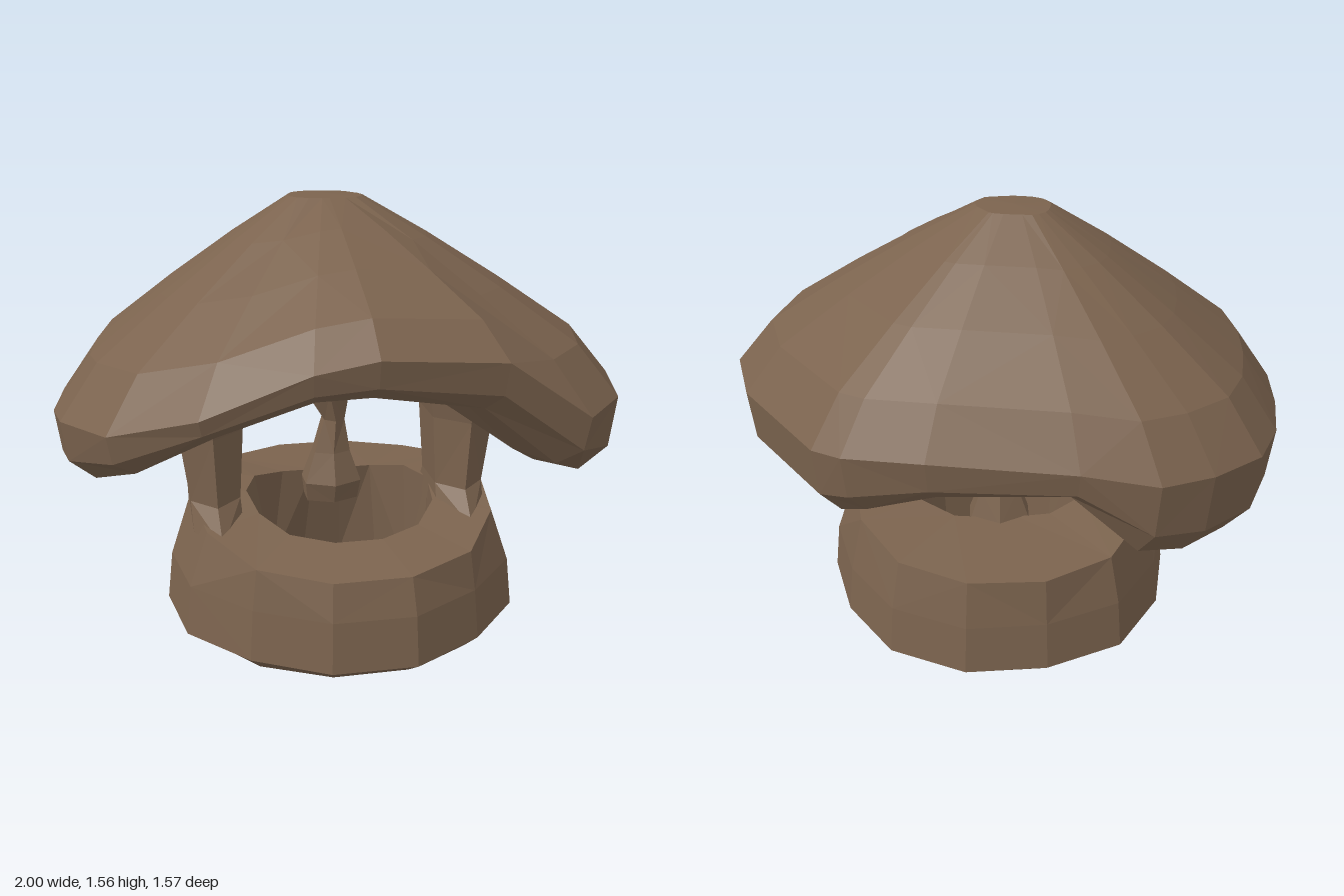
import * as THREE from 'three';

const wood = new THREE.MeshStandardMaterial({ color: 0x7b634e, flatShading: true });
wood.name = 'brown';

// Skin a list of equal-length rings of [x, y, z] with flat quads; optional end caps.
function loft(name, rings, capped = false) {
  const out = [];
  const n = rings[0].length;
  const tri = (a, b, c) => out.push(...a, ...b, ...c);
  for (let i = 0; i < rings.length - 1; i++) {
    for (let j = 0; j < n; j++) {
      const k = (j + 1) % n;
      const [a, b, c, d] = [rings[i][j], rings[i][k], rings[i + 1][j], rings[i + 1][k]];
      // alternate the diagonal for a hand-cut, faceted look
      if ((i + j) % 2) { tri(a, b, c); tri(b, d, c); } else { tri(a, b, d); tri(a, d, c); }
    }
  }
  if (capped) {
    const top = rings[0], low = rings[rings.length - 1];
    for (let j = 1; j < n - 1; j++) {
      tri(top[0], top[j + 1], top[j]);
      tri(low[0], low[j], low[j + 1]);
    }
  }
  const geo = new THREE.BufferGeometry();
  geo.setAttribute('position', new THREE.Float32BufferAttribute(out, 3));
  geo.computeVertexNormals();
  const mesh = new THREE.Mesh(geo, wood);
  mesh.name = name;
  return mesh;
}

// Mushroom roof: rim points [x, z, height of widest edge, height of lower lip]
const rim = [
  [1.0, 0.17, 0.91, 0.63], [0.91, 0.48, 0.91, 0.63], [0.72, 0.7, 0.92, 0.74],
  [0.42, 0.74, 1.13, 0.96], [0, 0.78, 1.17, 1.03], [-0.2, 0.76, 1.13, 1.02],
  [-0.54, 0.68, 0.98, 0.9], [-0.82, 0.51, 0.89, 0.74], [-0.97, 0.27, 0.87, 0.65],
  [-1.0, 0.08, 0.85, 0.62], [-0.97, -0.15, 0.86, 0.62], [-0.91, -0.39, 0.88, 0.6],
  [-0.81, -0.59, 0.9, 0.58], [-0.63, -0.72, 0.91, 0.58], [-0.45, -0.79, 0.92, 0.62],
  [-0.2, -0.76, 0.95, 0.82], [0.28, -0.69, 0.96, 0.79], [0.55, -0.61, 0.94, 0.7],
  [0.65, -0.54, 0.93, 0.66], [0.93, -0.1, 0.91, 0.63],
];

function roof() {
  const ring = (f, height) => rim.map(([x, z, wide, lip]) =>
    [-0.03 + (x + 0.03) * f, height(wide, lip), z * f]);
  const rings = [ring(0, () => 1.565)];
  // outer skin: [fraction of rim, fraction of rise]
  for (const [f, g] of [[0.13, 1], [0.35, 0.8], [0.6, 0.55], [0.86, 0.27], [1, 0]]) {
    rings.push(ring(f, (wide) => wide + (1.56 - wide) * g));
  }
  // rolled lip and hollow underside
  rings.push(ring(0.98, (wide, lip) => lip + (wide - lip) * 0.35));
  rings.push(ring(0.89, (wide, lip) => lip));
  rings.push(ring(0.74, (wide, lip) => Math.min(lip + 0.02, 1.0)));
  rings.push(ring(0.58, (wide, lip) => Math.max(0.95, Math.min(lip, 0.99))));
  rings.push(ring(0, () => 1.0));
  return loft('roof', rings);
}

// Ring wall with an open shaft: rises under the side posts, ledge at the back
function wall() {
  const n = 14;
  const ring = (r, y, lift = 0, ledge = 0) => Array.from({ length: n }, (_, j) => {
    const t = (j / n) * Math.PI * 2;
    const side = Math.cos(t) ** 4;
    const back = Math.max(0, -Math.sin(t));
    const wobble = y > 0.02 && y < 0.3 ? 0.012 * Math.sin(j * 2.3) : 0;
    const radius = r + wobble - ledge * back ** 2;
    return [
      0.02 + Math.cos(t) * (radius - lift * side * 0.5),
      y + lift * (side + back * 0.45),
      0.02 + Math.sin(t) * (radius + 0.015),
    ];
  });
  const brim = ring(0.38, 0.41, 0.06, 0.15);
  return loft('wellWall', [
    brim, ring(0.61, 0.37, 0.1), ring(0.64, 0.24),
    ring(0.66, 0.06), ring(0.59, 0.005), ring(0.35, 0.02), brim,
  ]);
}

// Post from six-sided sections: [x, y, z, half width, half depth]
function post(name, sections) {
  return loft(name, sections.map(([x, y, z, w, d]) =>
    Array.from({ length: 6 }, (_, j) => {
      const t = (j / 6 + 1 / 12) * Math.PI * 2;
      return [x + Math.cos(t) * w * 1.15, y, z + Math.sin(t) * d];
    })), true);
}

export function createModel() {
  const group = new THREE.Group();
  group.name = 'mushroomWell';
  group.add(roof(), wall());

  // flared side posts
  for (const [name, s] of [['leftPost', 1], ['rightPost', -1]]) {
    group.add(post(name, [
      [s * 0.47, 0.99, 0.04, 0.16, 0.27],
      [s * 0.465, 0.76, 0.05, 0.115, 0.2],
      [s * 0.455, 0.5, 0.06, 0.09, 0.18],
      [s * 0.45, 0.4, 0.06, 0.09, 0.29],
    ]));
  }

  // slender middle column standing on the back ledge, pinched near the top
  group.add(post('middleColumn', [
    [0.01, 1.0, -0.2, 0.13, 0.13],
    [0.01, 0.8, -0.19, 0.09, 0.1],
    [0.04, 0.67, -0.18, 0.04, 0.06],
    [0.03, 0.54, -0.17, 0.07, 0.06],
    [0.03, 0.42, -0.17, 0.11, 0.1],
    [0.03, 0.34, -0.18, 0.1, 0.08],
  ]));
  return group;
}
